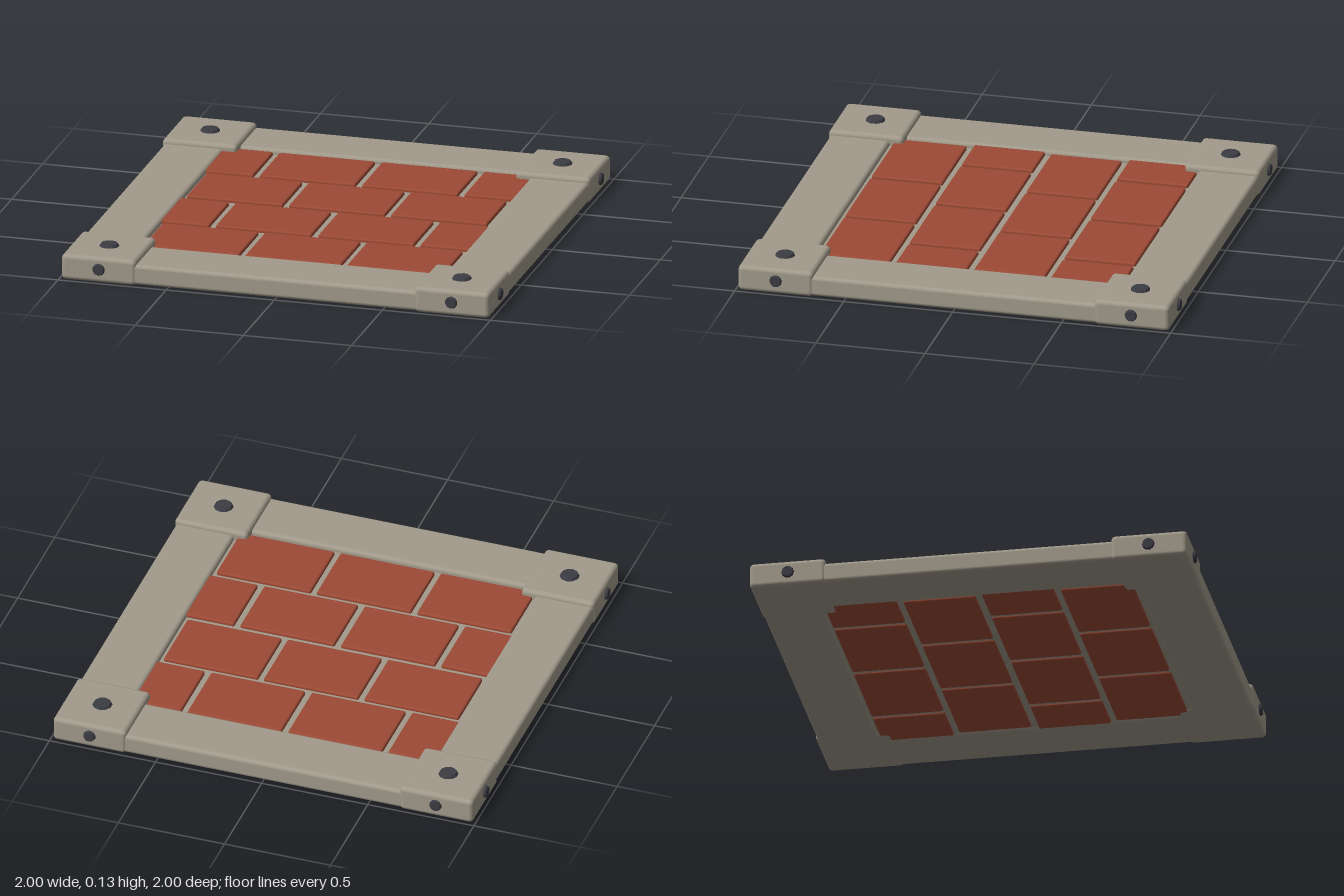
import * as THREE from 'three';
import { RoundedBoxGeometry } from 'three/addons/geometries/RoundedBoxGeometry.js';

export function createModel() {
  const group = new THREE.Group();
  const material = (name, color) => {
    const m = new THREE.MeshStandardMaterial({ color });
    m.name = name;
    return m;
  };
  const stone = material('stone', 0xa19a8b);
  const brick = material('brick', 0x9c4a35);
  const iron = material('iron', 0x3b3b43);
  iron.flatShading = true;

  const add = (name, geometry, mat, x, y, z) => {
    const mesh = new THREE.Mesh(geometry, mat);
    mesh.name = name;
    mesh.position.set(x, y, z);
    group.add(mesh);
    return mesh;
  };
  // rounded block given by its limits on each axis
  const block = (name, mat, [x0, x1], [y0, y1], [z0, z1], radius) =>
    add(name, new RoundedBoxGeometry(x1 - x0, y1 - y0, z1 - z0, 3, radius), mat,
      (x0 + x1) / 2, (y0 + y1) / 2, (z0 + z1) / 2);

  // mortar bed
  add('mortar', new THREE.BoxGeometry(1.46, 0.06, 1.46), stone, 0, 0.042, 0);

  // four courses of brick in running bond, with half bricks on alternate rows
  const fullRow = [[-0.698, -0.253], [-0.225, 0.22], [0.247, 0.692]];
  const halfRow = [[-0.72, -0.49], [-0.462, -0.018], [0.012, 0.456], [0.485, 0.715]];
  [-0.537, -0.183, 0.174, 0.528].forEach((z, row) => {
    for (const span of row % 2 ? fullRow : halfRow)
      block('brick', brick, span, [0.002, 0.088], [z - 0.163, z + 0.163], 0.009);
  });

  // frame beams
  const beamY = [0.003, 0.096];
  for (const s of [-1, 1]) {
    const across = s < 0 ? [-0.983, -0.708] : [0.708, 0.983];
    block('sideBeam', stone, across, beamY, [-0.8, 0.8], 0.018);
    block('endBeam', stone, [-0.8, 0.8], beamY, across, 0.018);
  }

  // bolt head: short tapered cylinder pointing up
  const boltHead = (r) => new THREE.CylinderGeometry(r * 0.72, r, 0.024, 10);
  const topBolt = boltHead(0.052);
  const sideBolt = boltHead(0.034);

  // corner blocks with bolts on the top and both outer sides
  for (const sx of [-1, 1]) for (const sz of [-1, 1]) {
    add('cornerBlock', new RoundedBoxGeometry(0.344, 0.118, 0.344, 3, 0.02), stone,
      sx * 0.817, 0.059, sz * 0.817);
    add('topBolt', topBolt, iron, sx * 0.815, 0.118, sz * 0.815);
    add('sideBolt', sideBolt, iron, sx * 0.988, 0.062, sz * 0.815).rotation.z = -sx * Math.PI / 2;
    add('endBolt', sideBolt, iron, sx * 0.815, 0.062, sz * 0.988).rotation.x = sz * Math.PI / 2;
  }
  return group;
}
